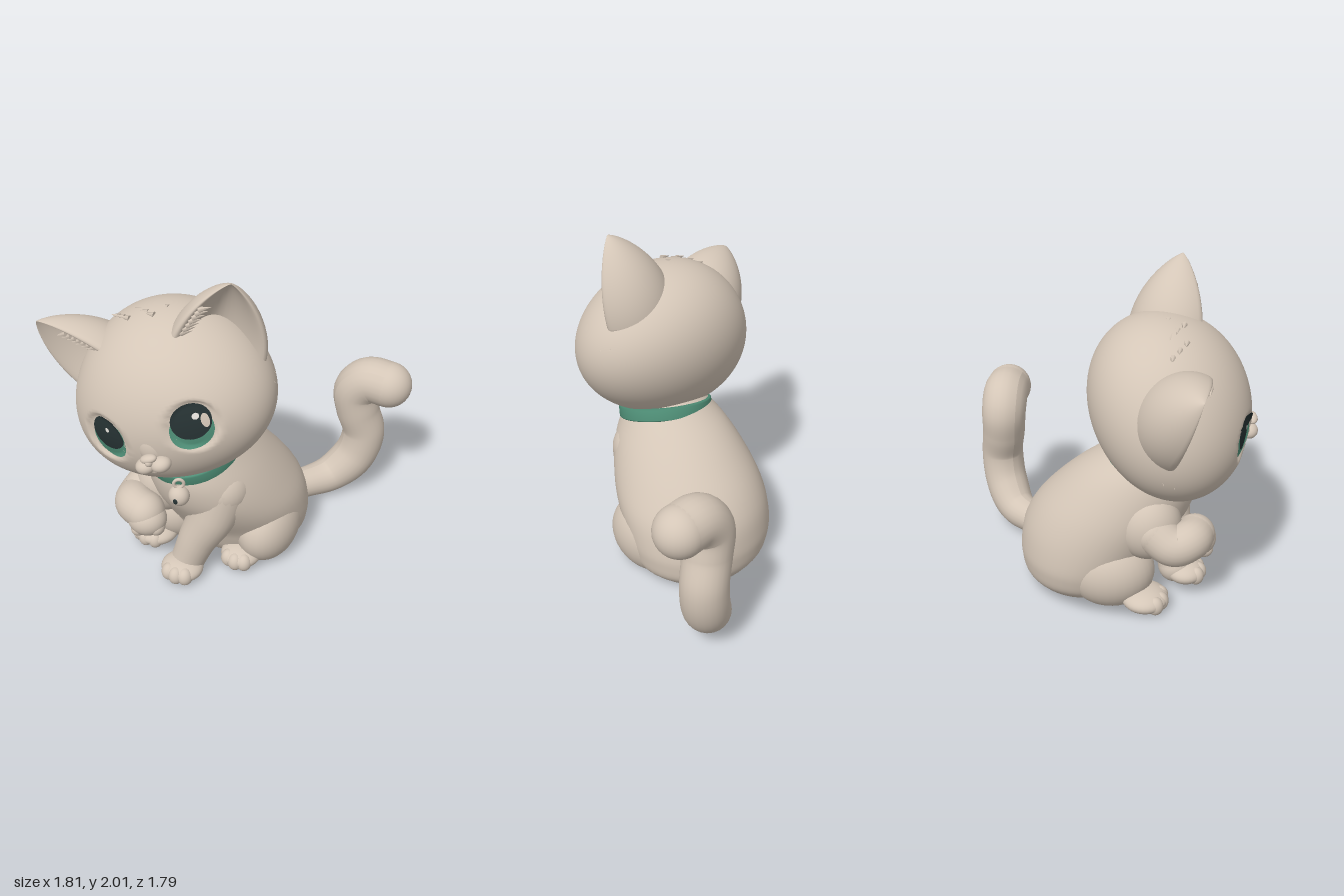
import * as THREE from 'three';

const V = (x, y, z) => new THREE.Vector3(x, y, z);
const rad = THREE.MathUtils.degToRad;

// Smooth closed skin over a stack of rings, capped at both ends
function loft(rings) {
  const n = rings[0].length, pos = [], idx = [];
  rings.forEach(r => r.forEach(p => pos.push(p.x, p.y, p.z)));
  for (let i = 0; i < rings.length - 1; i++) for (let j = 0; j < n; j++) {
    const k = (j + 1) % n, a = i * n + j, b = a + n, c = b - j + k, d = i * n + k;
    idx.push(a, b, c, a, c, d);
  }
  [rings[0], rings[rings.length - 1]].forEach((r, e) => {
    const m = r.reduce((s, p) => s.add(p), V(0, 0, 0)).divideScalar(n);
    const c = pos.length / 3, o = e ? (rings.length - 1) * n : 0;
    pos.push(m.x, m.y, m.z);
    for (let j = 0; j < n; j++) {
      const k = (j + 1) % n;
      e ? idx.push(c, o + k, o + j) : idx.push(c, o + j, o + k);
    }
  });
  const g = new THREE.BufferGeometry();
  g.setAttribute('position', new THREE.Float32BufferAttribute(pos, 3));
  g.setIndex(idx);
  g.computeVertexNormals();
  return g;
}
const ring = (n, f) => Array.from({ length: n }, (_, j) => f(j / n * Math.PI * 2));

// Head surface in its own frame, sy = height from -1 to 1
const HX = 0.585, HY = 0.485, HZ = 0.46, EYE = 0.262;
const wide = sy => HX * (1 - 0.13 * sy);
const lean = sy => -0.06 * sy;
// Depth of the eye sockets
function socket(x, y) {
  const e = ((Math.abs(x) - EYE) / 0.142) ** 2 + ((y + 0.045) / 0.15) ** 2;
  return 0.032 * THREE.MathUtils.smoothstep(1 - e, 0, 0.4);
}
function headZ(x, y) {
  const sy = y / HY, sx = x / wide(sy);
  return HZ * Math.sqrt(Math.max(0, 1 - sx * sx - sy * sy)) + lean(sy) - socket(x, y);
}

export function createModel() {
  const root = new THREE.Group();
  const mat = (name, color) => new THREE.MeshStandardMaterial({ name, color });
  const fur = mat('fur', 0xd4c6b7), green = mat('green', 0x4f8f77);
  const dark = mat('dark', 0x263233), shine = mat('shine', 0xe6e2dc);
  green.side = THREE.DoubleSide;

  const add = (parent, name, geo, m = fur) => {
    const mesh = new THREE.Mesh(geo, m);
    mesh.name = name;
    parent.add(mesh);
    return mesh;
  };
  // Ellipsoid; on the body it is flattened where it meets the floor
  const blob = (parent, name, p, r, m = fur, yaw = 0) => {
    const g = new THREE.SphereGeometry(1, 32, 24);
    g.scale(...r).rotateY(yaw).translate(...p);
    const a = g.attributes.position;
    if (parent === root) for (let i = 0; i < a.count; i++) a.setY(i, Math.max(0.004, a.getY(i)));
    return add(parent, name, g, m);
  };
  // Tapering limb with rounded ends; points are [x, y, z, radius]
  const limb = (name, pts, seg = 40) => {
    const curve = new THREE.CatmullRomCurve3(pts.map(p => V(p[0], p[1], p[2])));
    const radii = new THREE.SplineCurve(pts.map((p, i) => new THREE.Vector2(i, p[3])));
    const g = new THREE.TubeGeometry(curve, seg, 1, 24), a = g.attributes.position, p = V(0, 0, 0);
    for (let i = 0; i < a.count; i++) {
      const t = Math.floor(i / 25) / seg, c = curve.getPointAt(t);
      p.fromBufferAttribute(a, i).sub(c).multiplyScalar(radii.getPoint(t).y).add(c);
      a.setXYZ(i, p.x, p.y, p.z);
    }
    g.computeVertexNormals();
    add(root, name, g);
    [pts[0], pts[pts.length - 1]].forEach(q => blob(root, name + 'End', q.slice(0, 3), [q[3], q[3], q[3]]));
  };

  // Body: [y, centre x, centre z, half width, half depth]
  const sections = [
    [0.012, 0.02, -0.12, 0.37, 0.34], [0.08, 0.02, -0.12, 0.435, 0.385], [0.16, 0.015, -0.11, 0.46, 0.41],
    [0.25, 0.01, -0.09, 0.47, 0.43], [0.4, 0, -0.025, 0.46, 0.465], [0.55, -0.025, 0.06, 0.42, 0.465],
    [0.7, -0.05, 0.145, 0.36, 0.415], [0.82, -0.07, 0.205, 0.295, 0.34], [0.92, -0.08, 0.26, 0.225, 0.25],
    [1, -0.09, 0.3, 0.17, 0.18]];
  const tracks = [1, 2, 3, 4].map(k => new THREE.SplineCurve(sections.map(s => new THREE.Vector2(s[0], s[k]))));
  add(root, 'body', loft(Array.from({ length: 37 }, (_, i) => {
    const s = tracks.map(c => c.getPoint(i / 36));
    return ring(48, a => V(s[0].y + s[2].y * Math.cos(a), s[0].x, s[1].y + s[3].y * Math.sin(a)));
  })));

  // Haunches and feet
  blob(root, 'leftHaunch', [0.3, 0.2, 0.04], [0.19, 0.24, 0.27]);
  blob(root, 'rightHaunch', [-0.28, 0.2, 0.06], [0.21, 0.24, 0.27]);
  const foot = (name, x, z, rx, rz, yaw) => {
    blob(root, name, [x, 0.066, z], [rx, 0.07, rz], fur, yaw);
    for (let i = -1; i <= 1; i++) {
      const a = yaw + i * 0.6;
      blob(root, name + 'Toe', [x + Math.sin(a) * rx * 0.72, 0.06, z + Math.cos(a) * rz * 0.68], [0.048, 0.059, 0.05]);
    }
  };
  foot('leftHindFoot', 0.21, 0.24, 0.125, 0.13, 0);
  foot('rightHindFoot', -0.37, 0.28, 0.145, 0.14, -0.2);
  foot('leftFrontFoot', -0.06, 0.51, 0.13, 0.12, 0);

  // Standing front leg and raised front leg
  limb('leftFrontLeg', [[0.11, 0.62, 0.31, 0.18], [0.08, 0.43, 0.375, 0.15], [0.005, 0.25, 0.42, 0.122], [-0.05, 0.09, 0.445, 0.105]]);
  blob(root, 'rightShoulder', [-0.28, 0.53, 0.28], [0.185, 0.22, 0.2]);
  limb('raisedLeg', [[-0.35, 0.52, 0.32, 0.13], [-0.39, 0.455, 0.44, 0.122], [-0.35, 0.475, 0.53, 0.122], [-0.27, 0.47, 0.56, 0.118]]);
  blob(root, 'raisedPaw', [-0.25, 0.435, 0.575], [0.12, 0.105, 0.11]);
  for (let i = 0; i < 3; i++)
    blob(root, 'raisedToe', [-0.285 + i * 0.055, 0.377 + i * 0.012, 0.615 - i * 0.012], [0.046, 0.05, 0.055]);

  // Tail
  limb('tail', [[0.2, 0.13, -0.35, 0.11], [0.33, 0.12, -0.5, 0.1], [0.46, 0.14, -0.65, 0.115], [0.58, 0.28, -0.74, 0.135],
    [0.62, 0.47, -0.765, 0.138], [0.575, 0.65, -0.74, 0.136], [0.56, 0.8, -0.73, 0.14], [0.64, 0.89, -0.73, 0.145],
    [0.765, 0.89, -0.73, 0.145]], 80);

  // Dark soles: a horseshoe under the rump and a pad under the front foot
  const sole = new THREE.Shape();
  sole.moveTo(0.3, 0.3);
  sole.bezierCurveTo(0.46, 0.1, 0.46, -0.46, 0.03, -0.46);
  sole.bezierCurveTo(-0.42, -0.46, -0.46, 0.05, -0.46, 0.32);
  sole.quadraticCurveTo(-0.37, 0.4, -0.28, 0.32);
  sole.bezierCurveTo(-0.26, 0, -0.24, -0.25, 0.02, -0.26);
  sole.bezierCurveTo(0.22, -0.26, 0.2, 0, 0.14, 0.28);
  sole.quadraticCurveTo(0.22, 0.36, 0.3, 0.3);
  add(root, 'rumpSole', new THREE.ShapeGeometry(sole, 24).rotateX(Math.PI / 2).translate(0, 0.001, 0), dark);
  add(root, 'frontSole', new THREE.CircleGeometry(0.09, 20).rotateX(Math.PI / 2).translate(-0.06, 0.001, 0.51), dark);

  // Collar band and bell
  const collar = new THREE.Group();
  collar.name = 'collar';
  collar.position.set(-0.08, 0.845, 0.29);
  collar.rotation.set(rad(17), 0, rad(9));
  root.add(collar);
  const band = [[0.25, -0.038], [0.282, -0.038], [0.289, -0.03], [0.289, 0.03], [0.282, 0.038], [0.25, 0.038]];
  add(collar, 'collarBand', new THREE.LatheGeometry(band.map(p => new THREE.Vector2(...p)), 64), green);
  const bell = new THREE.Group();
  bell.name = 'bell';
  bell.position.set(-0.025, 0.69, 0.58);
  root.add(bell);
  blob(bell, 'bellBall', [0, 0, 0], [0.062, 0.064, 0.058]);
  add(bell, 'bellLoop', new THREE.TorusGeometry(0.028, 0.01, 8, 24).rotateY(0.5).translate(0, 0.085, 0));
  blob(bell, 'bellHole', [0.005, -0.004, 0.056], [0.014, 0.018, 0.007], dark);

  // Head, tilted and turned a little
  const head = new THREE.Group();
  head.name = 'head';
  head.position.set(-0.155, 1.28, 0.38);
  head.rotation.set(0, rad(8), rad(20), 'YZX');
  root.add(head);
  add(head, 'skull', loft(Array.from({ length: 97 }, (_, i) => {
    const t = 0.03 + (Math.PI - 0.06) * i / 96, sy = -Math.cos(t), r = Math.sin(t);
    return ring(128, a => {
      const x = wide(sy) * r * Math.cos(a), y = HY * sy, z = HZ * r * Math.sin(a);
      return V(x, y, z + lean(sy) - (z > 0 ? socket(x, y) : 0));
    });
  })));

  // Muzzle and nose
  for (const s of [-1, 1]) blob(head, 'muzzle', [s * 0.046 - 0.01, -0.205, 0.462], [0.058, 0.044, 0.054]);
  blob(head, 'chin', [-0.01, -0.24, 0.43], [0.05, 0.035, 0.045]);
  blob(head, 'noseBridge', [-0.01, -0.12, 0.42], [0.075, 0.1, 0.05]);
  blob(head, 'nose', [-0.01, -0.152, 0.482], [0.048, 0.024, 0.032]);
  blob(head, 'noseTip', [-0.01, -0.168, 0.488], [0.022, 0.026, 0.03]);

  // Thin oval lying on the face
  const patch = (name, x, y, rx, ry, lift, m) => {
    const g = new THREE.RingGeometry(0.001, 1, 40, 8), a = g.attributes.position;
    for (let i = 0; i < a.count; i++) {
      const px = x + a.getX(i) * rx, py = y + a.getY(i) * ry;
      a.setXYZ(i, px, py, headZ(px, py) + lift);
    }
    g.computeVertexNormals();
    add(head, name, g, m);
  };
  const tuft = (parent, p, dir, len, r) => {
    const c = add(parent, 'tuft', new THREE.ConeGeometry(r, len, 6).translate(0, len / 2, 0));
    c.position.set(...p);
    c.quaternion.setFromUnitVectors(V(0, 1, 0), V(...dir).normalize());
  };

  // Catchlights, brighter on the left eye
  patch('leftEyeShine', EYE + 0.03, 0.008, 0.018, 0.018, 0.016, shine);
  patch('leftEyeGlint', EYE + 0.068, -0.03, 0.02, 0.04, 0.016, fur);
  patch('rightEyeShine', -EYE + 0.03, 0.005, 0.012, 0.014, 0.016, shine);

  for (const s of [-1, 1]) {
    // Eye, set towards the nose in its socket
    const ex = s * (EYE - 0.014);
    patch('iris', ex, -0.062, 0.11, 0.112, 0.006, green);
    patch('pupil', ex + 0.01, -0.018, 0.103, 0.1, 0.011, dark);

    // Ear: hollow in front, rounded behind
    const ear = new THREE.Group();
    ear.name = s > 0 ? 'leftEar' : 'rightEar';
    ear.position.set(s * 0.345, 0.16, 0.04);
    ear.rotation.set(rad(6), s * rad(23), -s * rad(32), 'ZXY');
    head.add(ear);
    add(ear, 'earShell', loft(Array.from({ length: 33 }, (_, i) => {
      const t = Math.sin(i / 32 * Math.PI / 2) * 0.999, k = Math.pow(1 - t * t, 0.8);
      return ring(56, a => {
        const q = Math.sin(a), d = 0.27 * k;
        return V(0.27 * k * Math.cos(a), 0.475 * t, q < 0 ? d * q : d * (0.55 * q - 1.15 * q ** 3));
      });
    })));

    // Fur tufts inside the ear and at its outer base
    for (let i = 0; i < 7; i++) {
      tuft(ear, [-s * (0.21 - i * 0.012), 0.15 + i * 0.027, 0.02], [s * 0.8, 0.45, 0.15], 0.07, 0.018);
      tuft(head, [s * (0.5 + i * 0.006), 0.12 - i * 0.025, -0.02 - (i % 3) * 0.03], [s, -0.9, 0.1], 0.08, 0.022);
    }
  }
  // Low tufts on the crown
  for (let i = 0; i < 7; i++)
    tuft(head, [-0.15 + i * 0.05, 0.452 + 0.015 * Math.sin(i * 0.52), -0.02 + (i % 3) * 0.04], [-0.9, 0.3, -0.2], 0.06, 0.018);

  return root;
}
